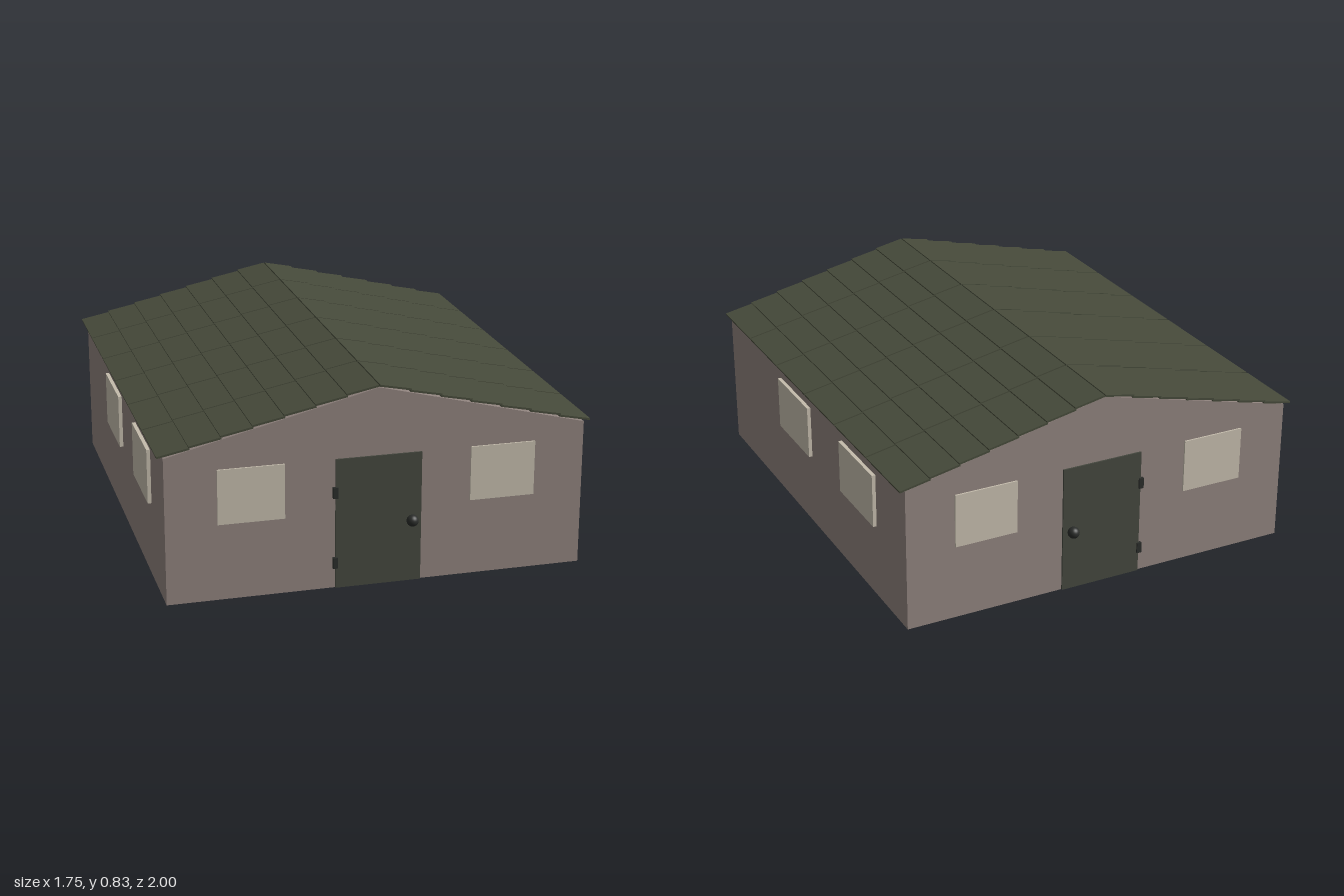
import * as THREE from 'three';

const paint = (color, extra = {}) => new THREE.MeshStandardMaterial({ color, ...extra });

export function createModel() {
  const house = new THREE.Group();
  house.name = 'house';

  const wallMat = paint(0x8f827d);
  const roofMat = paint(0x464a3a);
  const doorMat = paint(0x44473e);
  const glassMat = paint(0xc4bcac);
  const metalMat = paint(0x2a2c2a);

  const add = (parent, name, geometry, material, x, y, z) => {
    const mesh = new THREE.Mesh(geometry, material);
    mesh.name = name;
    mesh.position.set(x, y, z);
    parent.add(mesh);
    return mesh;
  };

  // Walls: gabled outline extruded along the house
  const halfW = 0.85, halfD = 0.954;
  const outline = new THREE.Shape([
    new THREE.Vector2(-halfW, 0),
    new THREE.Vector2(halfW, 0),
    new THREE.Vector2(halfW, 0.603),
    new THREE.Vector2(0, 0.817),
    new THREE.Vector2(-halfW, 0.603),
  ]);
  const walls = new THREE.ExtrudeGeometry(outline, { depth: 2 * halfD, bevelEnabled: false });
  add(house, 'walls', walls, wallMat, 0, 0, -halfD);

  // Roof: overlapping rows of panels, each lying a little flatter than the slope
  const rows = 7, columns = 6;
  const eave = new THREE.Vector2(0.873, 0.607), ridge = new THREE.Vector2(0.004, 0.826);
  const slope = Math.atan2(ridge.y - eave.y, eave.x - ridge.x);
  const rowLength = eave.distanceTo(ridge) / rows;
  const zBack = -0.967, pitch = 1.926 / columns;
  const panel = new THREE.BoxGeometry(rowLength + 0.003, 0.008, pitch - 0.008);
  for (const side of [-1, 1]) {
    const half = new THREE.Group();
    half.name = side > 0 ? 'roofLeft' : 'roofRight';
    for (let r = 0; r < rows; r++) {
      const p = eave.clone().lerp(ridge, (r + 0.5) / rows);
      for (let c = 0; c < columns; c++) {
        const tile = add(half, 'roofPanel', panel, roofMat, side * p.x, p.y, zBack + (c + 0.5) * pitch);
        tile.rotation.z = -side * (slope - 0.05);
      }
    }
    house.add(half);
  }

  // Both ends: door with hinges and knob, and a window either side
  const door = new THREE.BoxGeometry(0.35, 0.54, 0.02);
  const hinge = new THREE.BoxGeometry(0.02, 0.045, 0.02);
  const knob = new THREE.SphereGeometry(0.024, 24, 16);
  const endWindow = new THREE.BoxGeometry(0.267, 0.225, 0.02);
  for (const end of [1, -1]) {
    const group = new THREE.Group();
    group.name = end > 0 ? 'frontEnd' : 'backEnd';
    add(group, 'door', door, doorMat, 0, 0.27, end * 0.951);
    for (const y of [0.107, 0.402]) add(group, 'hinge', hinge, metalMat, -0.176, y, end * 0.958);
    add(group, 'doorKnob', knob, metalMat, 0.135, 0.26, end * 0.976);
    for (const x of [-0.511, 0.511]) add(group, 'endWindow', endWindow, glassMat, x, 0.428, end * 0.951);
    house.add(group);
  }

  // Side windows, turned half round from one side to the other
  const sideWindow = new THREE.BoxGeometry(0.03, 0.225, 0.336);
  for (const side of [1, -1]) {
    for (const z of [0.168, -0.506]) {
      add(house, 'sideWindow', sideWindow, glassMat, side * 0.85, 0.43, side * z);
    }
  }

  return house;
}
